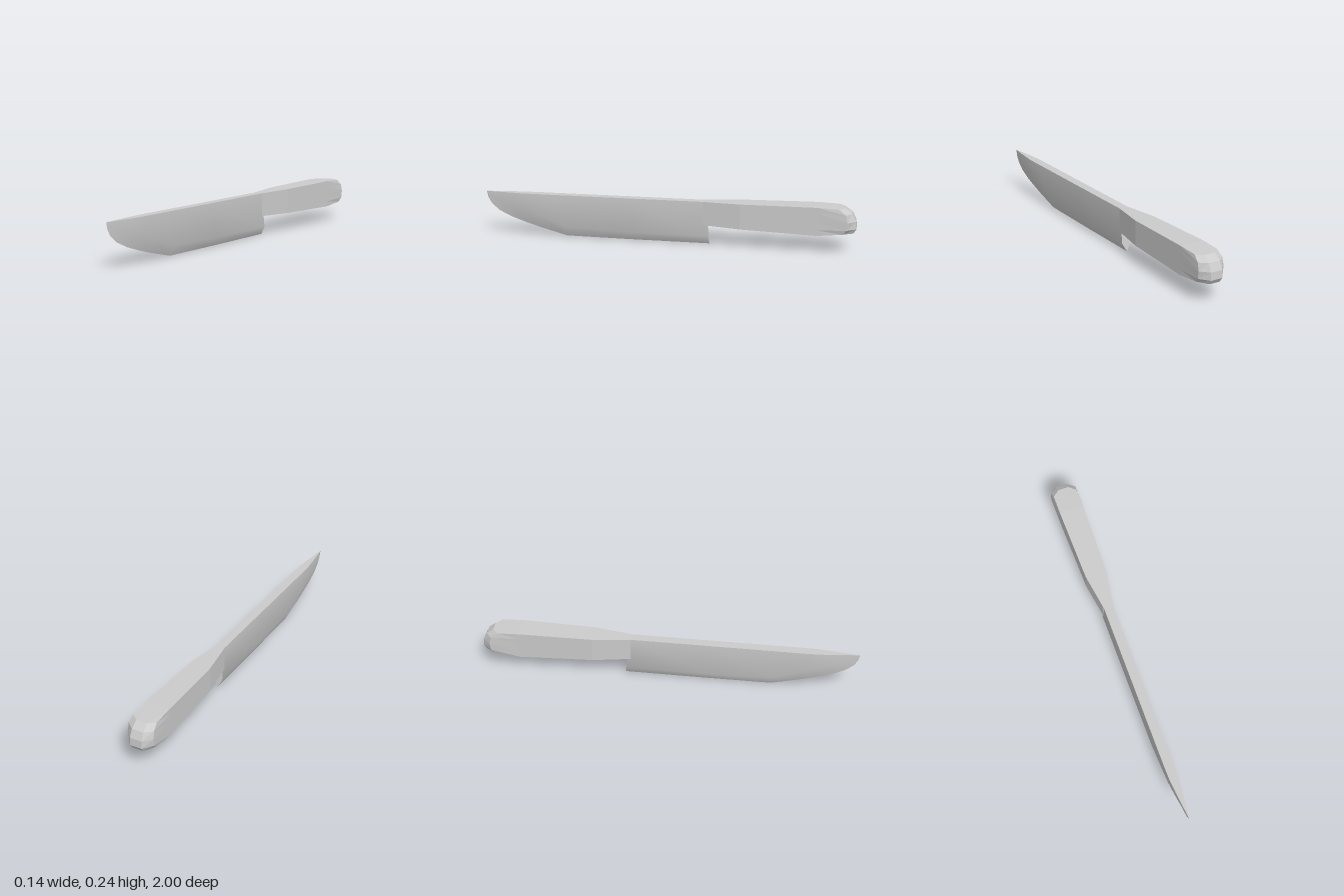
import * as THREE from 'three';
import { toCreasedNormals } from 'three/addons/utils/BufferGeometryUtils.js';

// Skin rows of points into quads; closed rows wrap around into rings
function skin(rows, closed, capStart = false) {
  const n = rows[0].length;
  const index = [];
  for (let i = 0; i < rows.length - 1; i++) {
    for (let j = 0; j < (closed ? n : n - 1); j++) {
      const k = (j + 1) % n;
      const a = i * n + j, b = i * n + k, c = (i + 1) * n + k, d = (i + 1) * n + j;
      index.push(a, b, c, a, c, d);
    }
  }
  if (capStart) for (let j = 1; j < n - 1; j++) index.push(0, j + 1, j);
  const geometry = new THREE.BufferGeometry();
  geometry.setAttribute('position', new THREE.Float32BufferAttribute(rows.flat(2), 3));
  geometry.setIndex(index);
  return geometry;
}

function addMesh(parent, name, geometry, flatShading) {
  const material = new THREE.MeshStandardMaterial({ color: 0xcccccc, flatShading });
  if (flatShading) geometry.computeVertexNormals();
  const mesh = new THREE.Mesh(geometry, material);
  mesh.name = name;
  parent.add(mesh);
}

export function createModel() {
  const model = new THREE.Group();
  model.name = 'knife';

  // Blade: spine, shoulder of the bevel and cutting edge, from heel to tip
  const spine = 0.231;
  const stations = [ // z, half thickness, shoulder y, edge y
    [-0.2, 0.025, 0.045, 0],
    [0.2, 0.025, 0.045, 0],
    [0.55, 0.025, 0.055, 0.002],
    [0.7, 0.025, 0.11, 0.041],
    [0.78, 0.024, 0.14, 0.065],
    [0.86, 0.017, 0.165, 0.092],
    [0.93, 0.009, 0.19, 0.125],
    [0.975, 0.004, 0.21, 0.163],
    [0.993, 0.002, 0.22, 0.195],
    [1, 0.001, 0.228, 0.224],
  ];
  const bladeRings = stations.map(([z, w, shoulder, edge], i) => {
    const lean = i === 0 ? 0.032 : 0; // the heel slants back towards the edge
    return [[w, spine], [-w, spine], [-w, shoulder], [0, edge], [w, shoulder]]
      .map(([x, y]) => [x, y, z - lean * (1 - y / spine)]);
  });
  addMesh(model, 'blade', toCreasedNormals(skin(bladeRings, true, true), 0.6), false);

  // Rounded butt: a curved patch of three by four facets
  const across = [-1, -0.45, 0.45, 1];
  const buttRows = [ // y, half width, z at the sides, z in the middle
    [0.233, 0.065, -0.91, -0.94],
    [0.205, 0.07, -0.945, -0.977],
    [0.165, 0.072, -0.955, -0.997],
    [0.125, 0.071, -0.95, -1],
    [0.102, 0.065, -0.93, -0.985],
  ].map(([y, w, side, middle]) => across.map((u) => [u * w, y, Math.abs(u) === 1 ? side : middle]));
  addMesh(model, 'handleButt', skin(buttRows, false), true);

  // Handle: rectangular rings that share the outline of the butt
  const outline = (g) => [
    ...[...g[0]].reverse(),
    ...g.slice(1, 4).map((row) => row[0]),
    ...g[4],
    ...g.slice(1, 4).reverse().map((row) => row[3]),
  ];
  const section = ([z, w, bottom, top]) => outline(
    [1, 0.8, 0.5, 0.2, 0].map((v) => across.map((u) => [u * w, bottom + (top - bottom) * v, z])));
  const handleRings = [
    outline(buttRows),
    ...[ // z, half width, bottom, top
      [-0.8, 0.066, 0.089, 0.238],
      [-0.4, 0.057, 0.1, 0.234],
      [-0.2, 0.026, 0.105, 0.231],
    ].map(section),
  ];
  addMesh(model, 'handle', skin(handleRings, true), true);

  // Collar face closing the handle where it meets the blade
  const collar = new THREE.PlaneGeometry(0.052, 0.126).translate(0, 0.168, -0.2);
  addMesh(model, 'handleCollar', collar, true);

  return model;
}
